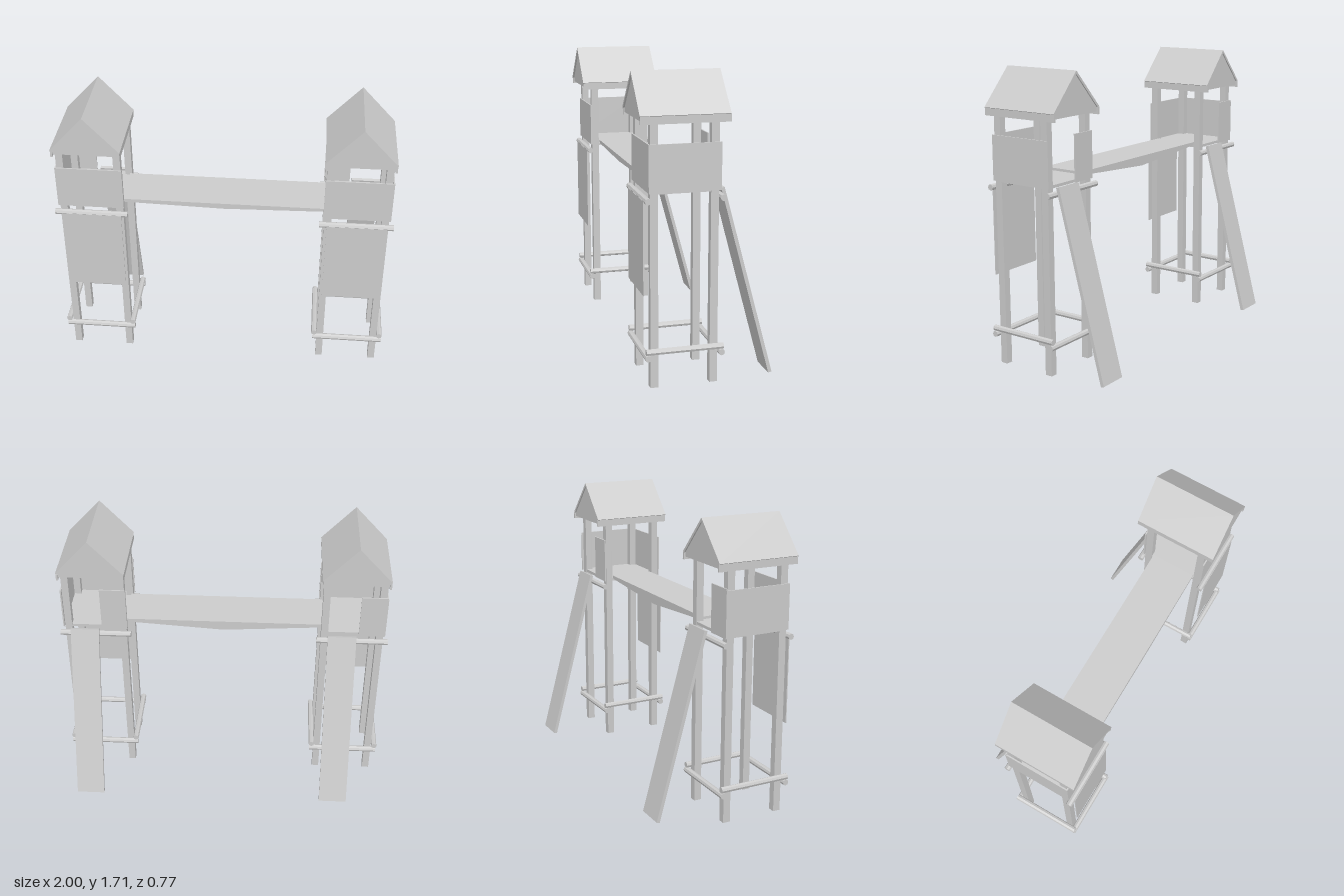
import * as THREE from 'three';

const material = new THREE.MeshStandardMaterial({ color: 0xcccccc, flatShading: true, side: THREE.DoubleSide });

function add(parent, name, geometry, x, y, z) {
  const mesh = new THREE.Mesh(geometry, material);
  mesh.name = name;
  mesh.position.set(x, y, z);
  parent.add(mesh);
  return mesh;
}

// Box given by its limits on each axis
function boxBetween(parent, name, [x0, x1], [y0, y1], [z0, z1]) {
  return add(parent, name, new THREE.BoxGeometry(x1 - x0, y1 - y0, z1 - z0),
    (x0 + x1) / 2, (y0 + y1) / 2, (z0 + z1) / 2);
}

// Flat plank between two points in the plane of a slope
function log(parent, name, length, axis, x, y, z) {
  const g = new THREE.CylinderGeometry(0.018, 0.018, length, 8);
  if (axis === 'x') g.rotateZ(Math.PI / 2);
  else g.rotateX(Math.PI / 2);
  return add(parent, name, g, x, y, z);
}

function createRoof() {
  const roof = new THREE.Group();
  roof.name = 'roof';
  const depth = 0.495, zMid = 0.14;

  for (const s of [-1, 1]) {
    // Sloping slab with a vertical joint at the ridge
    const slab = new THREE.Shape([
      new THREE.Vector2(0, 1.71), new THREE.Vector2(s * 0.2, 1.495),
      new THREE.Vector2(s * 0.19, 1.485), new THREE.Vector2(0, 1.69),
    ]);
    add(roof, 'roofSlab', new THREE.ExtrudeGeometry(slab, { depth, bevelEnabled: false }), 0, 0, zMid - depth / 2);
    // Board along the eave
    const board = boxBetween(roof, 'eaveBoard', [-0.006, 0.006], [1.45, 1.492], [-0.11, 0.385]);
    board.position.x = s * 0.192;
  }

  // Gable ends
  const gable = new THREE.Shape([
    new THREE.Vector2(-0.188, 1.465), new THREE.Vector2(0.188, 1.465),
    new THREE.Vector2(0.188, 1.487), new THREE.Vector2(0, 1.695), new THREE.Vector2(-0.188, 1.487),
  ]);
  for (const z of [-0.1, 0.37]) {
    add(roof, 'gable', new THREE.ExtrudeGeometry(gable, { depth: 0.008, bevelEnabled: false }), 0, 0, z);
  }
  return roof;
}

// One tower around x = 0; outer is the side away from the bridge
function createTower(outer) {
  const tower = new THREE.Group();
  tower.name = outer > 0 ? 'leftTower' : 'rightTower';

  // Corner posts
  for (const x of [-0.166, 0.166]) {
    for (const z of [-0.026, 0.309]) {
      boxBetween(tower, 'post', [x - 0.021, x + 0.021], [0, 1.49], [z - 0.022, z + 0.022]);
    }
  }

  // Cross logs
  for (const z of [-0.066, 0.348]) {
    log(tower, 'upperLog', 0.43, 'x', 0, 1.047, z);
    log(tower, 'lowerLog', 0.43, 'x', 0, 0.178, z);
  }
  for (const x of [-0.204, 0.201]) log(tower, 'lowerSideLog', 0.435, 'z', x, 0.212, 0.141);

  // Platform and railings
  boxBetween(tower, 'platform', [-0.185, 0.185], [1.078, 1.095], [-0.045, 0.33]);
  boxBetween(tower, 'frontRailing', [-0.193, 0.193], [1.085, 1.345], [0.332, 0.34]);
  boxBetween(tower, 'backRailing', [-0.193, -0.038], [1.08, 1.355], [-0.06, -0.052]);
  const side = boxBetween(tower, 'sideRailing', [-0.004, 0.004], [1.085, 1.345], [-0.06, 0.34]);
  side.position.x = outer * 0.193;

  // Climbing panel hanging from the front log
  boxBetween(tower, 'climbingPanel', [-0.172, 0.178], [0.525, 1.045], [0.361, 0.367]);

  // Sloping ramp at the back
  const ramp = new THREE.Shape([
    new THREE.Vector2(0.092, 1.09), new THREE.Vector2(0.073, 1.085),
    new THREE.Vector2(0.365, 0), new THREE.Vector2(0.385, 0.005),
  ]);
  const rampGeometry = new THREE.ExtrudeGeometry(ramp, { depth: 0.172, bevelEnabled: false });
  rampGeometry.rotateY(Math.PI / 2);
  add(tower, 'ramp', rampGeometry, -0.024, 0, 0);

  tower.add(createRoof());
  return tower;
}

// Flat-topped bridge whose underside dips toward the middle, more at the back
function createBridge() {
  const g = new THREE.BoxGeometry(1.2, 0.02, 0.275, 2, 1, 1);
  const p = g.attributes.position;
  for (let i = 0; i < p.count; i++) {
    if (p.getY(i) < 0 && Math.abs(p.getX(i)) < 0.01) {
      p.setY(i, p.getY(i) - (p.getZ(i) < 0 ? 0.04 : 0.015));
    }
  }
  g.computeVertexNormals();
  return g;
}

export function createModel() {
  const model = new THREE.Group();
  model.name = 'playTowers';
  for (const s of [-1, 1]) {
    const tower = createTower(s);
    tower.position.x = s * 0.777;
    model.add(tower);
  }
  add(model, 'bridge', createBridge(), 0, 1.1, 0.142);
  return model;
}
